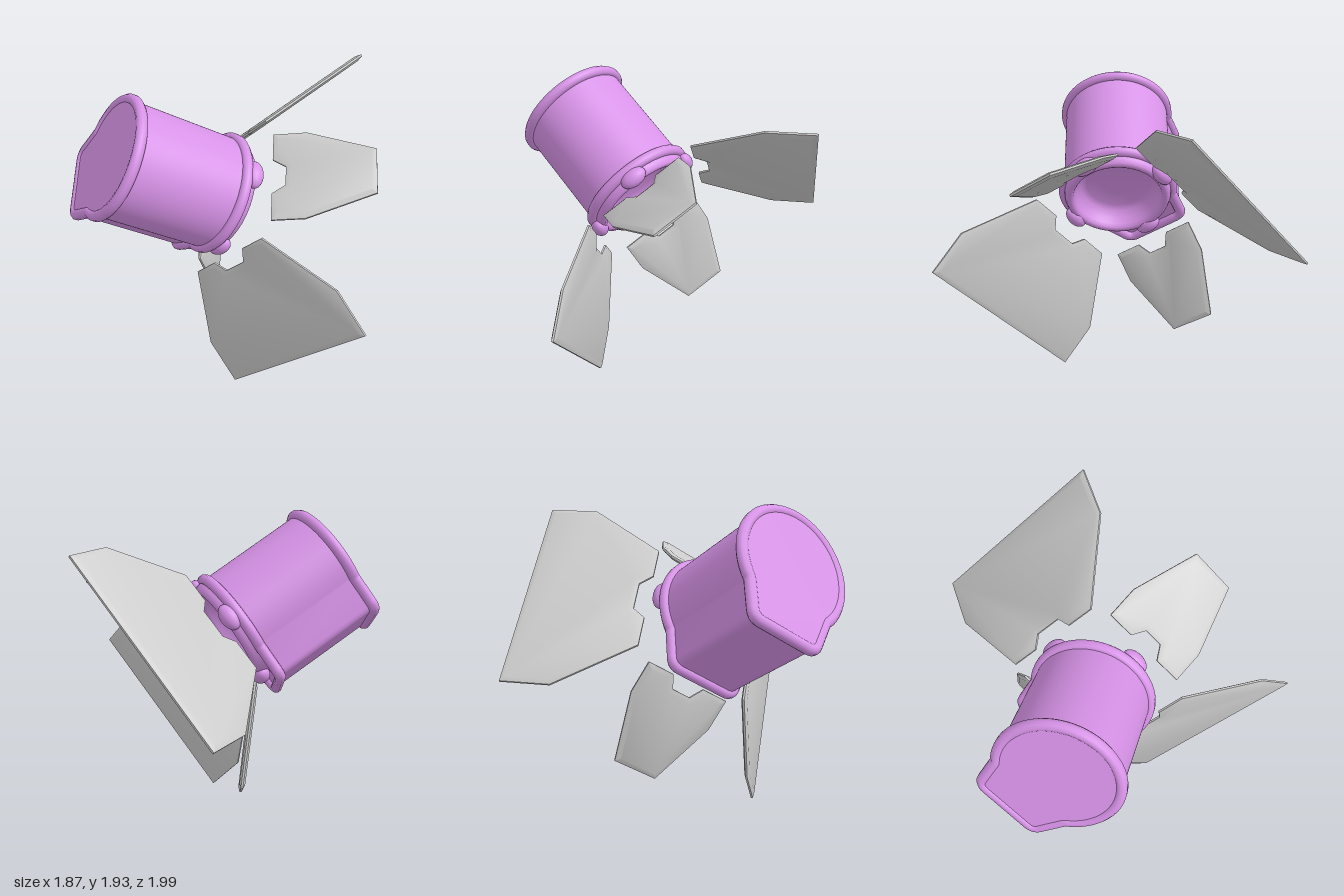
import * as THREE from 'three';
import { toCreasedNormals } from 'three/addons/utils/BufferGeometryUtils.js';

const R = 0.345;          // barrel radius
const BACK = -1.565;      // barrel ends along the lamp axis
const FRONT = -0.86;

const pink = new THREE.MeshStandardMaterial({ color: 0xd893e8 });
const pinkOpen = new THREE.MeshStandardMaterial({ color: 0xd893e8, side: THREE.DoubleSide });
const grey = new THREE.MeshStandardMaterial({ color: 0xcccccc });

function add(parent, name, geometry, material) {
  const mesh = new THREE.Mesh(geometry, material);
  mesh.name = name;
  parent.add(mesh);
  return mesh;
}

// Round barrel section with a box-like bulge on +x
function housingShape() {
  const a = Math.PI * 0.275;
  const s = new THREE.Shape();
  s.absarc(0, 0, R, a, Math.PI * 2 - a, false);
  s.lineTo(0.4, -0.215);
  s.quadraticCurveTo(0.435, -0.2, 0.435, -0.16);
  s.lineTo(0.435, 0.16);
  s.quadraticCurveTo(0.435, 0.2, 0.4, 0.215);
  s.closePath();
  return s;
}

function extrude(shape, depth) {
  const g = new THREE.ExtrudeGeometry(shape, { depth, bevelEnabled: false, curveSegments: 48 });
  return toCreasedNormals(g, 0.5);
}

// Rounded bead that follows the housing section
function rimGeometry(tube) {
  const pts = housingShape().getSpacedPoints(90).slice(0, -1)
    .map(p => new THREE.Vector3(p.x, p.y, 0));
  const path = new THREE.CatmullRomCurve3(pts, true);
  return new THREE.TubeGeometry(path, 140, tube, 10, true);
}

// Thin leaf with bevelled edges; half is the right half of its outline
function flapGeometry(half) {
  const outline = [...half, ...half.map(([x, y]) => [-x, y]).reverse()];
  const shape = new THREE.Shape(outline.map(([x, y]) => new THREE.Vector2(x, y)));
  const g = new THREE.ExtrudeGeometry(shape, {
    depth: 0.012, bevelEnabled: true, bevelSegments: 1,
    bevelThickness: 0.011, bevelSize: 0.03, bevelOffset: -0.03,
  });
  g.translate(0, 0, -0.006);
  return toCreasedNormals(g, 0.4);
}

export function createModel() {
  const model = new THREE.Group();
  model.name = 'stageLight';

  // Lamp frame: z runs along the beam
  const lamp = new THREE.Group();
  lamp.name = 'lamp';
  lamp.applyMatrix4(new THREE.Matrix4().makeBasis(
    new THREE.Vector3(0, -0.687, -0.727),
    new THREE.Vector3(0.707, 0.514, -0.486),
    new THREE.Vector3(0.707, -0.514, 0.486)));
  lamp.position.set(0.4525, 0.81, 0.198);
  model.add(lamp);

  // Housing, open at the front, with its back plate
  const body = housingShape();
  body.holes.push(new THREE.Path().absarc(0, 0, 0.285, 0, Math.PI * 2, true));
  add(lamp, 'housing', extrude(body, FRONT - BACK), pink).position.z = BACK;
  add(lamp, 'backPlate', extrude(housingShape(), 0.03), pink).position.z = BACK - 0.015;

  // Beads round both ends
  add(lamp, 'backRim', rimGeometry(0.034), pink).position.z = BACK + 0.008;
  add(lamp, 'frontRim', rimGeometry(0.034), pink).position.z = FRONT;

  // Front lip running into the hollow reflector
  const lip = [
    [0.345, -0.86], [0.337, -0.81], [0.325, -0.785], [0.305, -0.776], [0.285, -0.785],
    [0.275, -0.81], [0.262, -0.85], [0.235, -0.89], [0.2, -0.915], [0.1, -0.925], [0, -0.928],
  ].map(([r, z]) => new THREE.Vector2(r, z));
  const lipGeometry = new THREE.LatheGeometry(lip, 56);
  lipGeometry.rotateX(Math.PI / 2);
  add(lamp, 'reflectorLip', lipGeometry, pinkOpen);

  // Hinged flaps, large and small in turn, each above a hinge lug
  const large = flapGeometry([
    [0.09, 0.075], [0.15, 0], [0.34, 0], [0.637, 0.45], [0.637, 0.745],
  ]);
  const small = flapGeometry([
    [0.06, 0.08], [0.11, 0], [0.28, 0], [0.28, 0.2], [0.143, 0.61],
  ]);
  const lug = new THREE.SphereGeometry(1, 20, 14);
  for (let i = 0; i < 4; i++) {
    const side = new THREE.Group();
    side.name = 'flapSide' + (i + 1);
    side.rotation.z = i * Math.PI / 2;
    lamp.add(side);

    const isLarge = i % 2 === 0;
    const flap = add(side, isLarge ? 'largeFlap' : 'smallFlap', isLarge ? large : small, grey);
    flap.position.set(0, 0.384, isLarge ? -0.74 : -0.71);
    flap.rotation.x = THREE.MathUtils.degToRad(43.5);

    const hinge = add(side, 'hingeLug', lug, pink);
    hinge.scale.set(0.085, 0.05, 0.055);
    hinge.position.set(0, 0.338, -0.805);
  }
  return model;
}
